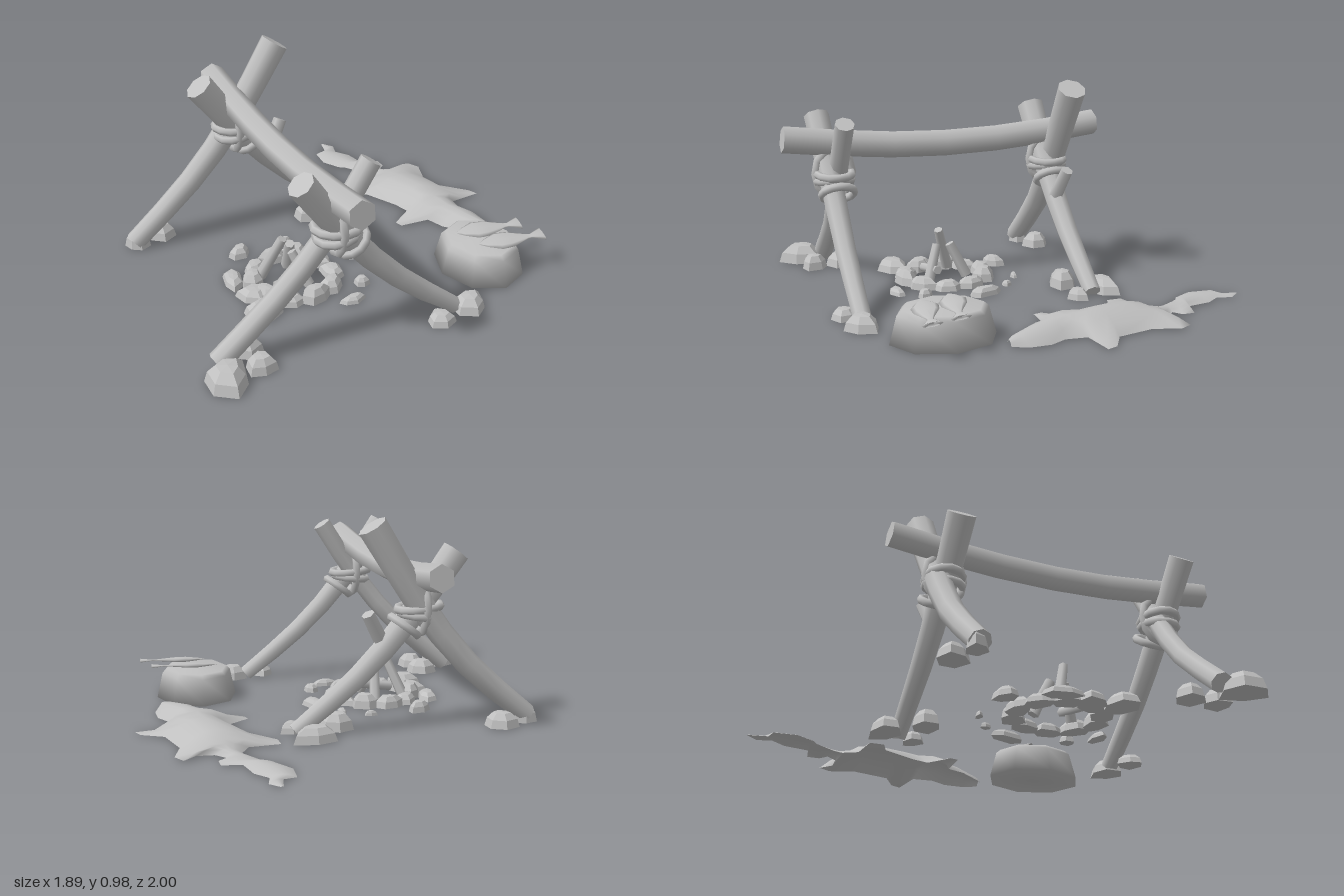
import * as THREE from 'three';

const grey = new THREE.MeshStandardMaterial({ color: 0xc0c0c0 });
grey.name = 'plain grey';
const hideGrey = grey.clone();
hideGrey.name = 'plain grey open surface';
hideGrey.side = THREE.DoubleSide;

const V = (x, y, z) => new THREE.Vector3(x, y, z);
const UP = V(0, 1, 0);

// Tapered log: a cylinder bent along a curve through the given points
function log(name, pts, r0, r1, sides = 8) {
  const curve = new THREE.CatmullRomCurve3(pts.map(p => V(...p)), false, 'centripetal');
  const geo = new THREE.CylinderGeometry(r1, r0, 1, sides, pts.length > 2 ? 6 : 1);
  const pos = geo.attributes.position, nor = geo.attributes.normal;
  const q = new THREE.Quaternion(), v = V(0, 0, 0);
  for (let i = 0; i < pos.count; i++) {
    const t = THREE.MathUtils.clamp(pos.getY(i) + 0.5, 0, 1);
    q.setFromUnitVectors(UP, curve.getTangentAt(t));
    v.set(pos.getX(i), 0, pos.getZ(i)).applyQuaternion(q).add(curve.getPointAt(t));
    pos.setXYZ(i, v.x, Math.max(0, v.y), v.z);
    v.fromBufferAttribute(nor, i).applyQuaternion(q);
    nor.setXYZ(i, v.x, v.y, v.z);
  }
  const mesh = new THREE.Mesh(geo, grey);
  mesh.name = name;
  return mesh;
}

// Faceted, flat-bottomed stone with an uneven outline
function stone(name, x, z, rx, rz, h, turn = 0) {
  const profile = [[0, 0], [1, 0], [0.86, 0.55], [0.5, 0.95], [0, 1]].map(p => new THREE.Vector2(...p));
  let geo = new THREE.LatheGeometry(profile, 6);
  const pos = geo.attributes.position, seed = x * 17 + z * 29;
  for (let i = 0; i < pos.count; i++) {
    const a = Math.atan2(pos.getX(i), pos.getZ(i));
    const k = 1 + 0.1 * Math.sin(2 * a + seed) + 0.08 * Math.cos(3 * a + seed * 2);
    pos.setXYZ(i, pos.getX(i) * k * rx, pos.getY(i) * h, pos.getZ(i) * k * rz);
  }
  geo = geo.toNonIndexed();
  geo.computeVertexNormals();
  const mesh = new THREE.Mesh(geo, grey);
  mesh.name = name;
  mesh.position.set(x, 0, z);
  mesh.rotation.y = turn;
  return mesh;
}

// Rope lashing: a level ring, a slanted ring and an upright loop
function lashing(z) {
  const g = new THREE.Group();
  g.name = 'ropeLashing';
  const ring = (x, y, rx, rz, tilt) => {
    const geo = new THREE.TorusGeometry(1, 0.21, 6, 12);
    geo.rotateX(Math.PI / 2).scale(rx, 0.095, rz);
    const m = new THREE.Mesh(geo, grey);
    m.name = 'ropeRing';
    m.position.set(x, y, z);
    m.rotation.z = tilt;
    g.add(m);
  };
  ring(-0.32, 0.565, 0.1, 0.085, -0.08);
  ring(-0.32, 0.53, 0.09, 0.085, 0.12);
  ring(-0.25, 0.48, 0.075, 0.08, 0.65);
  ring(-0.33, 0.565, 0.115, 0.09, Math.PI / 2);
  return g;
}

// Domed animal skin. Rows: left x, z, right x, z, spine x, z, height
function hide() {
  const rows = [
    [.76, .28, .79, .27, .775, .275, .03], [.70, .25, .82, .20, .76, .225, .045],
    [.60, .12, .82, .10, .71, .11, .06], [.57, .03, .78, .02, .68, .03, .065],
    [.42, .02, .79, -.08, .67, -.03, .07], [.41, -.02, .95, -.10, .66, -.07, .072],
    [.52, -.10, .93, -.15, .66, -.13, .075], [.50, -.18, .83, -.21, .65, -.2, .078],
    [.42, -.35, .79, -.39, .62, -.36, .068], [.35, -.38, .83, -.51, .61, -.42, .055],
    [.35, -.45, .80, -.57, .61, -.46, .045], [.50, -.46, .74, -.52, .61, -.49, .035],
    [.54, -.53, .66, -.53, .60, -.53, .025], [.53, -.57, .62, -.58, .575, -.575, .02],
    [.48, -.65, .66, -.61, .57, -.63, .02], [.46, -.68, .66, -.67, .56, -.675, .02],
    [.43, -.70, .57, -.69, .5, -.70, .02], [.38, -.79, .55, -.81, .465, -.8, .02],
    [.39, -.90, .50, -.88, .445, -.89, .015], [.45, -.91, .52, -.95, .485, -.93, .01],
    [.47, -1, .48, -1, .475, -1, .005],
  ];
  const steps = [-1, -0.7, -0.35, 0, 0.35, 0.7, 1], n = steps.length;
  const pos = [], idx = [];
  rows.forEach(([lx, lz, rx, rz, sx, sz, h], r) => {
    steps.forEach((s, c) => {
      const ex = s < 0 ? lx : rx, ez = s < 0 ? lz : rz, t = Math.abs(s);
      const reach = Math.min(0.2, Math.abs(ex - sx) + 0.001);
      const d = Math.min(1, t * Math.abs(ex - sx) / reach);
      pos.push(sx + (ex - sx) * t, 0.004 + h * (1 - d * d), sz + (ez - sz) * t);
      if (r && c) {
        const i = r * n + c;
        idx.push(i - n - 1, i - n, i - 1, i - n, i, i - 1);
      }
    });
  });
  const geo = new THREE.BufferGeometry();
  geo.setAttribute('position', new THREE.Float32BufferAttribute(pos, 3));
  geo.setIndex(idx);
  geo.computeVertexNormals();
  const mesh = new THREE.Mesh(geo, hideGrey);
  mesh.name = 'animalHide';
  return mesh;
}

// Flattened fish pointing along x, tail at the far end
function fish(x, z) {
  const profile = [[0, 0], [.03, .04], [.06, .1], [.055, .16], [.018, .25], [.014, .27], [.045, .33], [0, .31]];
  const geo = new THREE.LatheGeometry(profile.map(p => new THREE.Vector2(...p)), 8);
  geo.rotateZ(-Math.PI / 2).scale(1, 0.22, 1);
  const mesh = new THREE.Mesh(geo, grey);
  mesh.name = 'fish';
  mesh.position.set(x, 0.165, z);
  mesh.rotation.set(0.15, -0.15, 0.02);
  return mesh;
}

export function createModel() {
  const model = new THREE.Group();
  model.name = 'campSite';

  // Crossed poles at each end and the sagging beam over them
  model.add(
    log('frontPoleA', [[-.85, .03, .71], [-.56, .28, .71], [-.35, .53, .73], [-.155, .825, .73]], .05, .047),
    log('frontPoleB', [[.26, .02, .77], [-.04, .26, .77], [-.25, .48, .77], [-.5, .82, .79]], .042, .062),
    log('backPoleA', [[-.85, .03, -.385], [-.56, .28, -.39], [-.35, .53, -.38], [-.085, .945, -.38]], .05, .07),
    log('backPoleB', [[.26, .02, -.345], [-.04, .26, -.34], [-.25, .48, -.335], [-.5, .81, -.33]], .042, .07),
    log('branchStub', [[-.17, .37, -.32], [-.075, .545, -.355]], .038, .032, 6),
    log('crossBeam', [[-.33, .74, .99], [-.33, .69, .55], [-.33, .675, .2], [-.33, .69, -.2], [-.33, .735, -.605]], .064, .064, 6),
    lashing(.75), lashing(-.345),
  );

  // Stones bracing the pole feet: x, z, radii, height
  for (const [x, z, rx, rz, h] of [
    [-.85, .82, .1, .11, .09], [-.69, .79, .065, .07, .07], [-.7, .65, .08, .07, .07],
    [.16, .83, .07, .06, .05], [.33, .79, .085, .08, .07], [-.7, -.44, .08, .07, .07],
    [-.83, -.39, .06, .05, .08], [.19, -.43, .11, .075, .07], [.05, -.28, .08, .07, .08], [.26, -.27, .06, .05, .05],
  ]) model.add(stone('footStone', x, z, rx, rz, h));

  // Fire pit ring, stones laid along a circle
  for (let i = 0; i < 10; i++) {
    const a = i / 10 * Math.PI * 2 + 0.2;
    model.add(stone('fireStone', -.28 + .19 * Math.cos(a), .22 + .2 * Math.sin(a),
      .055, .075, .045 + .012 * (i % 3), -a));
  }
  // Outer and scattered stones
  for (const [x, z, rx, rz, h, turn] of [
    [-.51, .42, .1, .08, .06, 0], [-.5, .28, .08, .075, .05, 0], [-.54, .12, .05, .09, .04, -.3],
    [-.42, -.09, .065, .045, .05, .4], [-.17, -.11, .032, .017, .025, 0], [-.05, -.03, .02, .03, .025, .4],
    [.05, .12, .04, .1, .04, .3], [-.01, .4, .035, .04, .04, 0], [-.11, .51, .07, .033, .03, .2],
  ]) model.add(stone('looseStone', x, z, rx, rz, h, turn));

  // Leaning firewood
  model.add(
    log('firewood', [[-.42, .02, .16], [-.335, .235, .23]], .028, .022, 6),
    log('firewood', [[-.26, .01, .11], [-.28, .175, .19]], .028, .024, 6),
    log('firewood', [[-.24, .01, .31], [-.3, .17, .25]], .028, .022, 6),
    log('firewood', [[-.4, .03, .29], [-.22, .06, .27]], .024, .022, 6),
  );

  // Low stump with fish on top
  const stump = new THREE.Mesh(new THREE.LatheGeometry(
    [[0, 0], [1, 0], [.86, .125], [.76, .145], [0, .158]].map(p => new THREE.Vector2(...p)), 8), grey);
  stump.name = 'stump';
  stump.scale.set(.2, 1, .24);
  stump.position.set(.57, 0, .495);
  model.add(stump, fish(.47, .44), fish(.51, .575));

  model.add(hide());
  return model;
}
